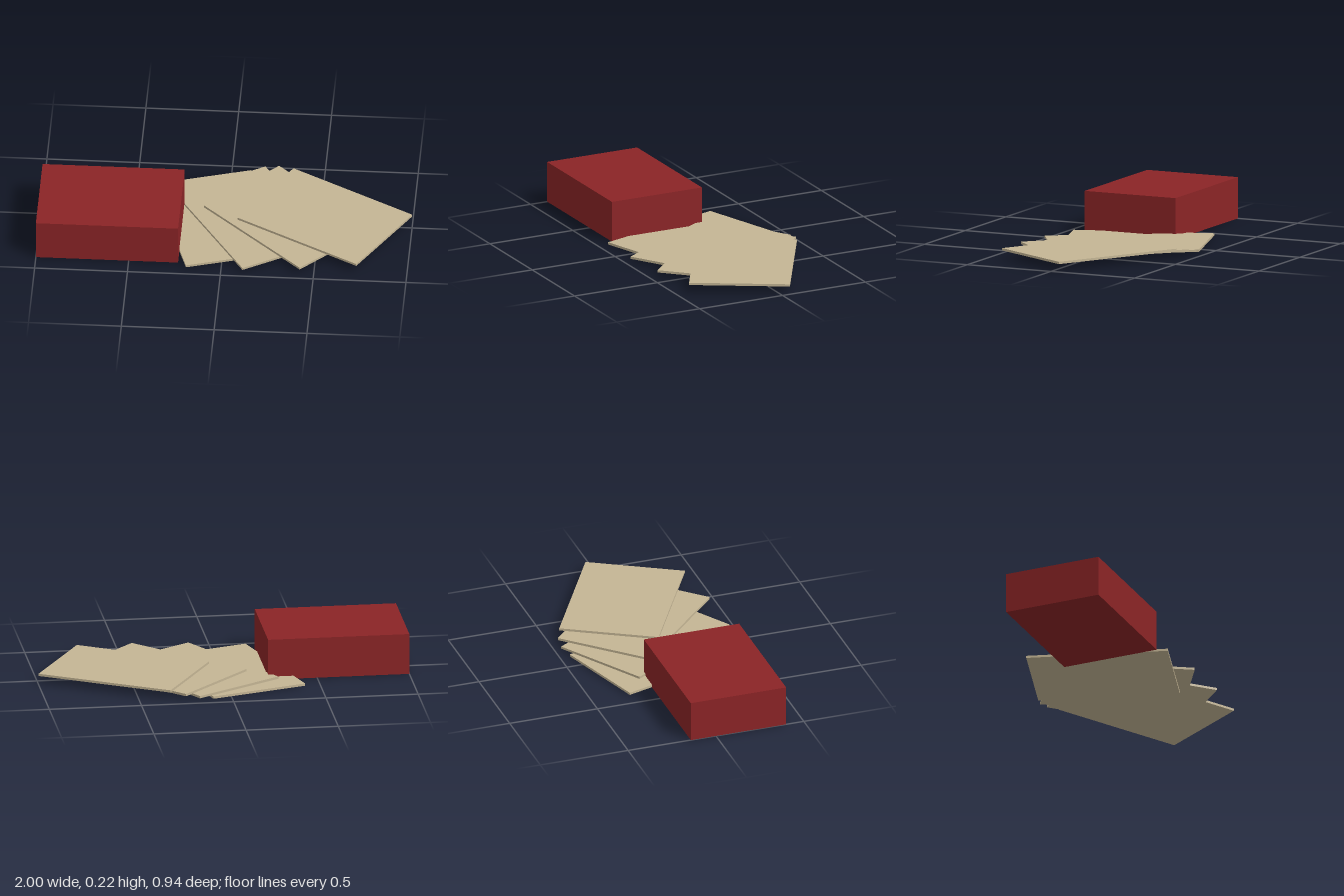
import * as THREE from 'three';

export function createModel() {
  const model = new THREE.Group();
  const red = new THREE.MeshStandardMaterial({ color: 0x8b2426 });
  red.name = 'deep red';
  const tan = new THREE.MeshStandardMaterial({ color: 0xc4b594 });
  tan.name = 'parchment';

  const WIDTH = 0.543, LENGTH = 0.766;

  // Closed deck box, lying with its long side along x
  const deck = new THREE.Mesh(new THREE.BoxGeometry(LENGTH, 0.225, WIDTH), red);
  deck.name = 'deckBox';
  deck.position.set(-0.617, 0.1125, 0.128);
  model.add(deck);

  // Fanned cards, each one further right, higher and more turned
  const thickness = 0.0128;
  const cardGeometry = new THREE.BoxGeometry(WIDTH, thickness, LENGTH);
  for (let i = 0; i < 4; i++) {
    const card = new THREE.Mesh(cardGeometry, tan);
    card.name = `card${i + 1}`;
    card.position.set(-0.043 + i * 0.191, 0.004 + thickness * (i + 0.5), -0.001);
    card.rotation.y = 0.3 + i * 0.25;
    model.add(card);
  }
  return model;
}
